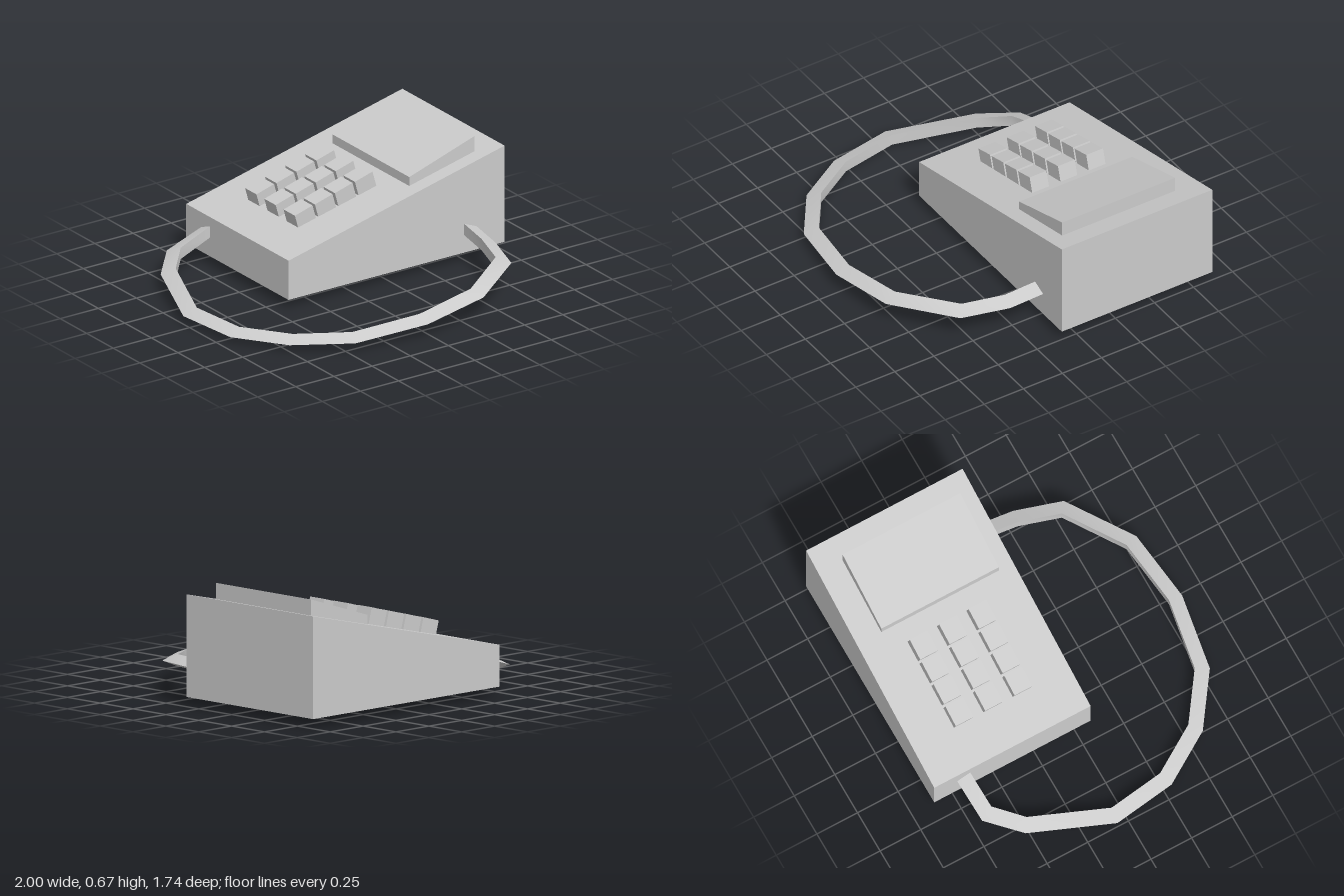
import * as THREE from 'three';
import { toCreasedNormals } from 'three/addons/utils/BufferGeometryUtils.js';

const grey = new THREE.MeshStandardMaterial({ color: 0xcccccc });

// Side profile in x/y, extruded between two z positions
function slab(name, profile, zBack, zFront) {
  const shape = new THREE.Shape(profile.map(([x, y]) => new THREE.Vector2(x, y)));
  const geo = new THREE.ExtrudeGeometry(shape, { depth: zFront - zBack, bevelEnabled: false });
  geo.translate(0, 0, zBack);
  const mesh = new THREE.Mesh(geo, grey);
  mesh.name = name;
  return mesh;
}

// Triangular band swept along a path, with mitred corners and the sharp edge outwards
function band(path, halfWidth, halfHeight) {
  const pts = path.map((p) => new THREE.Vector3(...p));
  const positions = [];
  const index = [];
  const sideways = (a, b) => new THREE.Vector3(a.z - b.z, 0, b.x - a.x).normalize();
  pts.forEach((p, i) => {
    const before = sideways(pts[Math.max(i - 1, 0)], pts[Math.max(i, 1)]);
    const after = sideways(pts[Math.min(i, pts.length - 2)], pts[Math.min(i + 1, pts.length - 1)]);
    const n = before.clone().add(after).normalize();
    n.multiplyScalar(halfWidth / n.dot(before));
    positions.push(
      p.x + n.x, p.y, p.z + n.z,
      p.x - n.x, p.y + halfHeight, p.z - n.z,
      p.x - n.x, p.y - halfHeight, p.z - n.z
    );
    if (i === 0) return;
    for (let j = 0; j < 3; j++) {
      const k = (j + 1) % 3;
      const a = (i - 1) * 3;
      const b = i * 3;
      index.push(a + j, b + j, a + k, a + k, b + j, b + k);
    }
  });
  // end caps
  const e = (pts.length - 1) * 3;
  index.push(0, 1, 2, e, e + 2, e + 1);
  const geo = new THREE.BufferGeometry();
  geo.setAttribute('position', new THREE.Float32BufferAttribute(positions, 3));
  geo.setIndex(index);
  return toCreasedNormals(geo, 0.9);
}

export function createModel() {
  const model = new THREE.Group();
  model.name = 'keypadTerminal';

  // Wedge-shaped housing
  model.add(slab('body', [[-0.416, 0.054], [1, 0.054], [1, 0.615], [-0.416, 0.283]], -0.87, 0.093));

  // Raised panel at the high end, steeper than the housing
  model.add(slab('screenPanel', [[0.438, 0.47], [0.865, 0.57], [0.865, 0.672], [0.438, 0.535]], -0.72, 0.003));

  // Four by three grid of tilted keys
  const keys = new THREE.Group();
  keys.name = 'keys';
  const keyGeo = new THREE.BoxGeometry(0.12, 0.1, 0.107);
  keyGeo.translate(0, -0.05, 0);
  for (let row = 0; row < 3; row++) {
    for (let col = 0; col < 4; col++) {
      const key = new THREE.Mesh(keyGeo, grey);
      key.name = `key_${row}_${col}`;
      key.position.set(-0.147 + col * 0.131, 0.427 + col * 0.0345, -0.566 + row * 0.181);
      key.rotation.z = 0.275;
      keys.add(key);
    }
  }
  model.add(keys);

  // Cord looping from the low end round to the front
  const path = [
    [-0.36, 0.21, -0.693], [-0.42, 0.195, -0.688], [-0.637, 0.125, -0.67],
    [-0.785, 0.085, -0.51], [-0.955, 0.045, -0.06], [-0.903, 0.034, 0.285],
    [-0.728, 0.044, 0.565], [-0.452, 0.056, 0.76], [-0.04, 0.088, 0.825],
    [0.348, 0.128, 0.77], [0.685, 0.159, 0.535], [0.76, 0.168, 0.285],
    [0.775, 0.19, 0.09], [0.778, 0.194, 0.05]
  ];
  const cord = new THREE.Mesh(band(path, 0.04, 0.033), grey);
  cord.name = 'cord';
  model.add(cord);

  return model;
}
